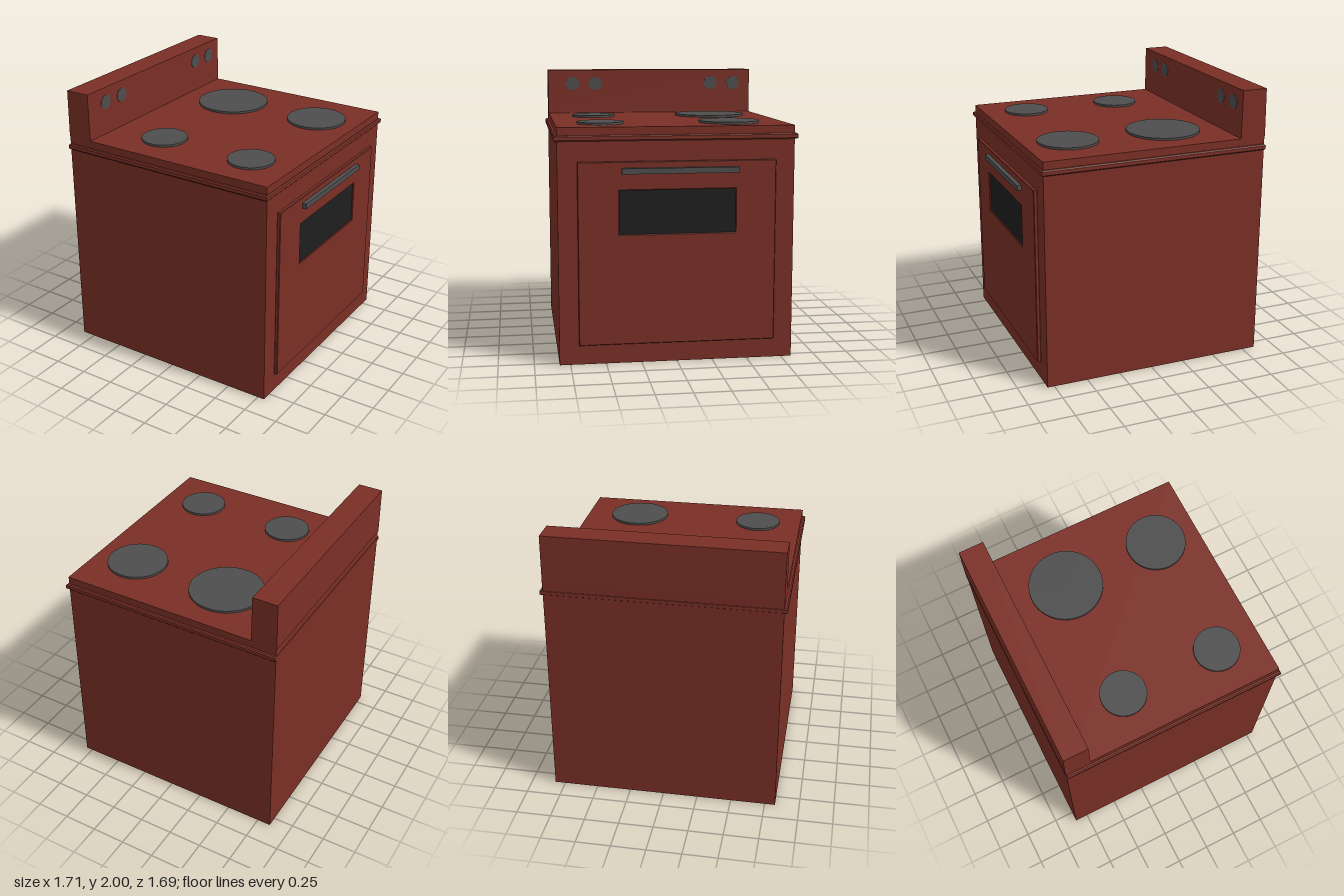
import * as THREE from 'three';

const red = new THREE.MeshStandardMaterial({ color: 0x7a2f26 });
const grey = new THREE.MeshStandardMaterial({ color: 0x4d4d4d });
const black = new THREE.MeshStandardMaterial({ color: 0x1e1e1e });

function add(parent, name, geometry, material) {
  const mesh = new THREE.Mesh(geometry, material);
  mesh.name = name;
  parent.add(mesh);
  return mesh;
}

// Box given by its limits on each axis
function block(parent, name, [x0, x1], [y0, y1], [z0, z1], material) {
  const mesh = add(parent, name, new THREE.BoxGeometry(x1 - x0, y1 - y0, z1 - z0), material);
  mesh.position.set((x0 + x1) / 2, (y0 + y1) / 2, (z0 + z1) / 2);
  return mesh;
}

function rectangle(Type, x0, x1, y0, y1) {
  return new Type([[x0, y0], [x1, y0], [x1, y1], [x0, y1]].map(p => new THREE.Vector2(...p)));
}

export function createModel() {
  const stove = new THREE.Group();
  stove.name = 'stove';

  // Cabinet with the cooktop as its upper face
  block(stove, 'cabinet', [-0.85, 0.8], [0, 1.655], [-0.825, 0.825], red);

  // Chamfered trim band under the cooktop
  const b = 0.008;
  const band = add(stove, 'trimBand', new THREE.ExtrudeGeometry(
    rectangle(THREE.Shape, -0.852 + b, 0.814 - b, -0.847 + b, 0.847 - b),
    { depth: 0.04 - 2 * b, bevelSize: b, bevelThickness: b, bevelSegments: 1 }), red);
  band.rotation.x = -Math.PI / 2;
  band.position.y = 1.56 + b;

  // Control panel at the back, slightly narrower at the top
  const panelGeometry = new THREE.BoxGeometry(0.19, 0.345, 1.65);
  const p = panelGeometry.attributes.position;
  for (let i = 0; i < p.count; i++) {
    if (p.getY(i) > 0) p.setX(i, p.getX(i) * 0.96);
  }
  panelGeometry.computeVertexNormals();
  add(stove, 'controlPanel', panelGeometry, red).position.set(-0.759, 1.8275, 0);

  // Control knobs, nearly flush with the panel
  for (const z of [0.63, 0.447, -0.5, -0.687]) {
    const knob = add(stove, 'knob', new THREE.CylinderGeometry(0.053, 0.053, 0.02, 32), grey);
    knob.rotation.z = -Math.PI / 2;
    knob.position.set(-0.674, 1.892, z);
  }

  // Burner plates: x, z, radius
  for (const [x, z, r] of [
    [-0.25, -0.413, 0.266], [0.48, -0.423, 0.217],
    [-0.25, 0.497, 0.165], [0.48, 0.503, 0.165],
  ]) {
    add(stove, 'burner', new THREE.CylinderGeometry(r, r, 0.02, 64), grey).position.set(x, 1.661, z);
  }

  // Oven door with a window opening
  const e = 0.004;
  const doorShape = rectangle(THREE.Shape, -0.69 + e, 0.69 - e, 0.14 + e, 1.42 - e);
  doorShape.holes.push(rectangle(THREE.Path, -0.407 - e, 0.407 + e, 0.915 - e, 1.224 + e));
  const door = add(stove, 'ovenDoor', new THREE.ExtrudeGeometry(doorShape,
    { depth: 0.027 - 2 * e, bevelSize: e, bevelThickness: e, bevelSegments: 1 }), red);
  door.rotation.y = Math.PI / 2;
  door.position.x = 0.799 + e;

  block(stove, 'ovenWindow', [0.79, 0.816], [0.912, 1.227], [-0.41, 0.41], black);
  block(stove, 'doorHandle', [0.82, 0.856], [1.337, 1.376], [-0.422, 0.39], grey);

  return stove;
}
